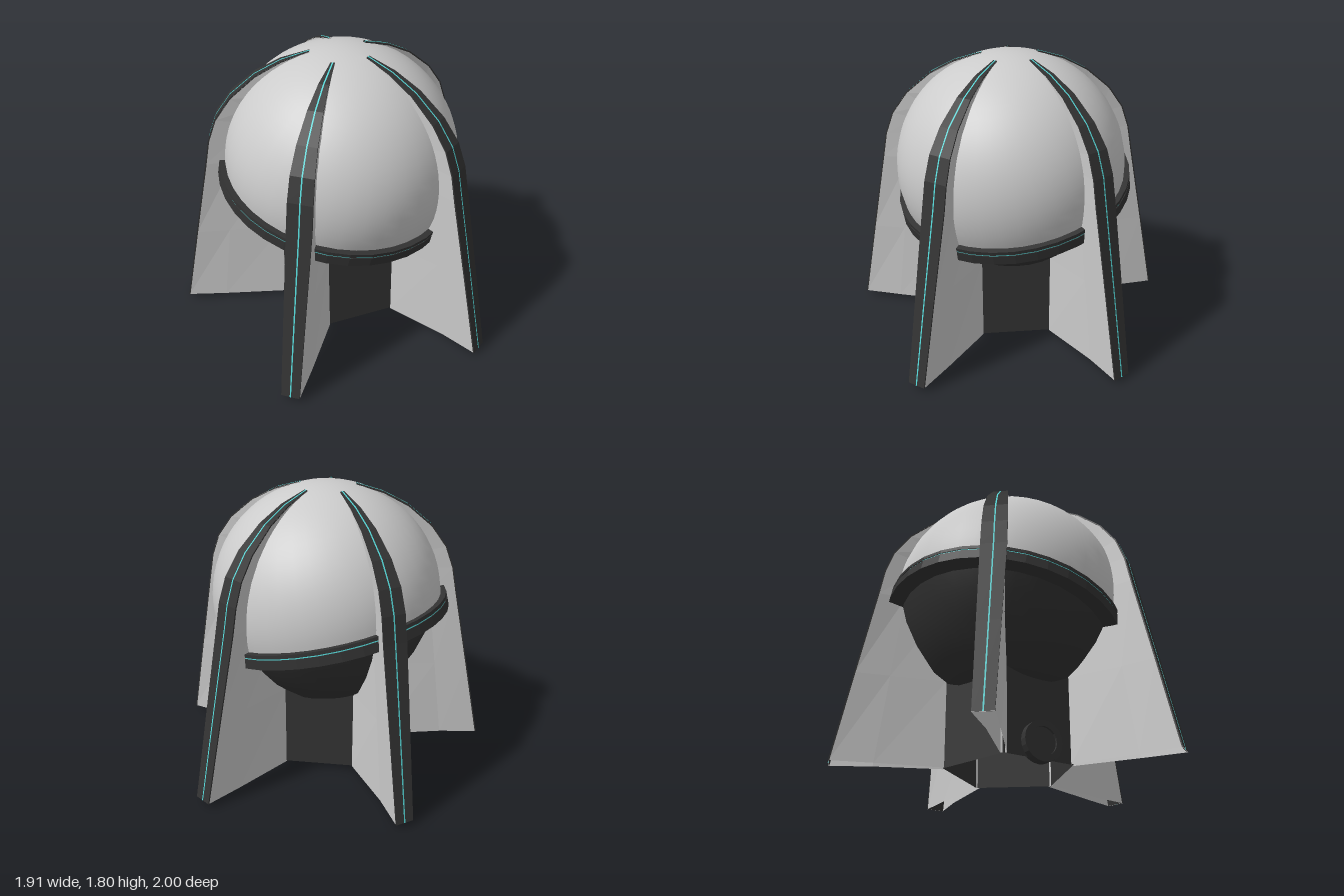
import * as THREE from 'three';

const mat = (color) => new THREE.MeshStandardMaterial({ color, side: THREE.DoubleSide });
const light = mat(0xcccccc);
const dark = mat(0x333333);
const cyan = mat(0x55d8d8);

function part(name, geometry, material) {
  const mesh = new THREE.Mesh(geometry, material);
  mesh.name = name;
  return mesh;
}

function flat(geometry) {
  const g = geometry.toNonIndexed();
  g.computeVertexNormals();
  return g;
}

// Joins cross-sections with equal corner counts into a faceted tube, open at both ends
function loft(sections) {
  const pos = [];
  const tri = (a, b, c) => pos.push(...a, ...b, ...c);
  for (let i = 0; i < sections.length - 1; i++) {
    const s = sections[i], t = sections[i + 1];
    for (let j = 0; j < s.length; j++) {
      const k = (j + 1) % s.length;
      tri(s[j], s[k], t[k]);
      tri(s[j], t[k], t[j]);
    }
  }
  const g = new THREE.BufferGeometry();
  g.setAttribute('position', new THREE.Float32BufferAttribute(pos, 3));
  g.computeVertexNormals();
  return g;
}

// Outer edge of a fin from foot to tip: radius, height, half width, sideways shift
const finEdge = [
  [1.035, 0.03, 0.057, 0], [0.93, 0.56, 0.066, -0.008], [0.825, 1.08, 0.075, -0.016],
  [0.795, 1.24, 0.074, -0.017], [0.745, 1.38, 0.07, -0.016], [0.65, 1.515, 0.06, -0.014],
  [0.5, 1.645, 0.045, -0.012], [0.345, 1.73, 0.03, -0.01], [0.18, 1.785, 0.012, -0.009],
];
const rootShift = -0.015;

// Outward normal of the edge at point i
function edgeNormal(i) {
  const a = finEdge[Math.max(i - 1, 0)], b = finEdge[Math.min(i + 1, finEdge.length - 1)];
  const dx = b[0] - a[0], dy = b[1] - a[1], l = Math.hypot(dx, dy);
  return i === 0 ? [1, 0] : [dy / l, -dx / l];
}

// Bar that follows the fin edge between two offsets
function edgeBar(outer, inner, width) {
  return loft(finEdge.map(([r, y, w, s], i) => {
    const [nx, ny] = edgeNormal(i), h = width(w);
    const o = [r + nx * outer, y + ny * outer], n = [r + nx * inner, y + ny * inner];
    return [[...o, s + h], [...o, s - h], [...n, s - h], [...n, s + h]];
  }));
}

// Hollow panel from the edge to the column, narrowing in a slight curve
function finPanel() {
  return loft(finEdge.map(([r, y, w, s], i) => {
    const [nx, ny] = edgeNormal(i), q = rootShift;
    const o = [r - nx * 0.004, y - ny * 0.004];
    const n = [Math.min(0.385, r * 0.55), Math.min(y, 1.3)], k = Math.min(0.018, w * 0.6);
    const m = [n[0] + (o[0] - n[0]) * 0.62, n[1] + (o[1] - n[1]) * 0.62], h = k + (w - k) * 0.48;
    return [[...o, s + w], [...o, s - w], [...m, q - h], [...n, q - k], [...n, q + k], [...m, q + h]];
  }));
}

const lathe = (pts, seg) => new THREE.LatheGeometry(pts.map(([r, y]) => new THREE.Vector2(r, y)), seg);

// Flat-faced ring with a rectangular section
const band = (r0, r1, y0, y1, seg) =>
  flat(lathe([[r0, y0], [r1, y0], [r1, y1], [r0, y1], [r0, y0]], seg));

export function createModel() {
  const model = new THREE.Group();
  model.name = 'finnedDome';
  const core = new THREE.Group();
  core.name = 'core';
  core.position.x = -0.085;
  model.add(core);

  // Five fins around the vertical axis
  const panel = finPanel();
  const edge = edgeBar(0, -0.008, (w) => w);
  const line = edgeBar(0.001, -0.004, () => 0.004);
  for (let i = 0; i < 5; i++) {
    const fin = new THREE.Group();
    fin.name = 'fin' + (i + 1);
    fin.rotation.y = (i * Math.PI * 2) / 5;
    fin.add(part('finPanel', panel, light), part('finEdge', edge, dark), part('finLightLine', line, cyan));
    core.add(fin);
  }

  // Hollow five-sided column with its corners on the fins
  const column = part('column', flat(new THREE.CylinderGeometry(0.39, 0.39, 0.67, 5, 1, true)), dark);
  column.position.y = 0.365;
  column.rotation.y = Math.PI / 2 + 0.04;
  core.add(column);

  // Dome, rim and bowl share an axis leaning towards one fin
  const tilt = THREE.MathUtils.degToRad(14), dir = (72 * Math.PI) / 180;
  const head = new THREE.Group();
  head.name = 'tiltedHead';
  head.position.y = 1.09;
  head.quaternion.setFromUnitVectors(
    new THREE.Vector3(0, 1, 0),
    new THREE.Vector3(Math.sin(tilt) * Math.cos(dir), Math.cos(tilt), Math.sin(tilt) * Math.sin(dir)));
  core.add(head);

  const domeArc = [];
  for (let i = 0; i <= 20; i++) {
    const a = THREE.MathUtils.lerp(-0.22, Math.PI / 2, i / 20);
    domeArc.push([0.71 * Math.cos(a), 0.71 * Math.sin(a)]);
  }
  head.add(part('dome', lathe(domeArc, 40), light));

  head.add(part('bowl', lathe([
    [0, -0.66], [0.2, -0.64], [0.36, -0.565], [0.5, -0.43], [0.6, -0.3], [0.665, -0.17],
  ], 32), dark));

  // Rim: two bands with a thin coloured line recessed between them
  head.add(
    part('rimLower', band(0.64, 0.734, -0.212, -0.152, 36), dark),
    part('rimUpper', band(0.66, 0.734, -0.144, -0.122, 36), dark),
    part('rimLightLine', band(0.68, 0.73, -0.152, -0.144, 36), cyan));

  // Round port on the column face opposite the first fin
  const port = new THREE.Group();
  port.name = 'port';
  port.position.set(-0.305, 0.122, 0.015);
  port.rotation.z = Math.PI / 2;
  const plate = part('portPlate', new THREE.CylinderGeometry(0.09, 0.09, 0.03, 20), dark);
  plate.position.y = 0.03;
  port.add(part('portCollar', band(0.085, 0.12, 0, 0.06, 20), dark), plate);
  core.add(port);

  return model;
}
